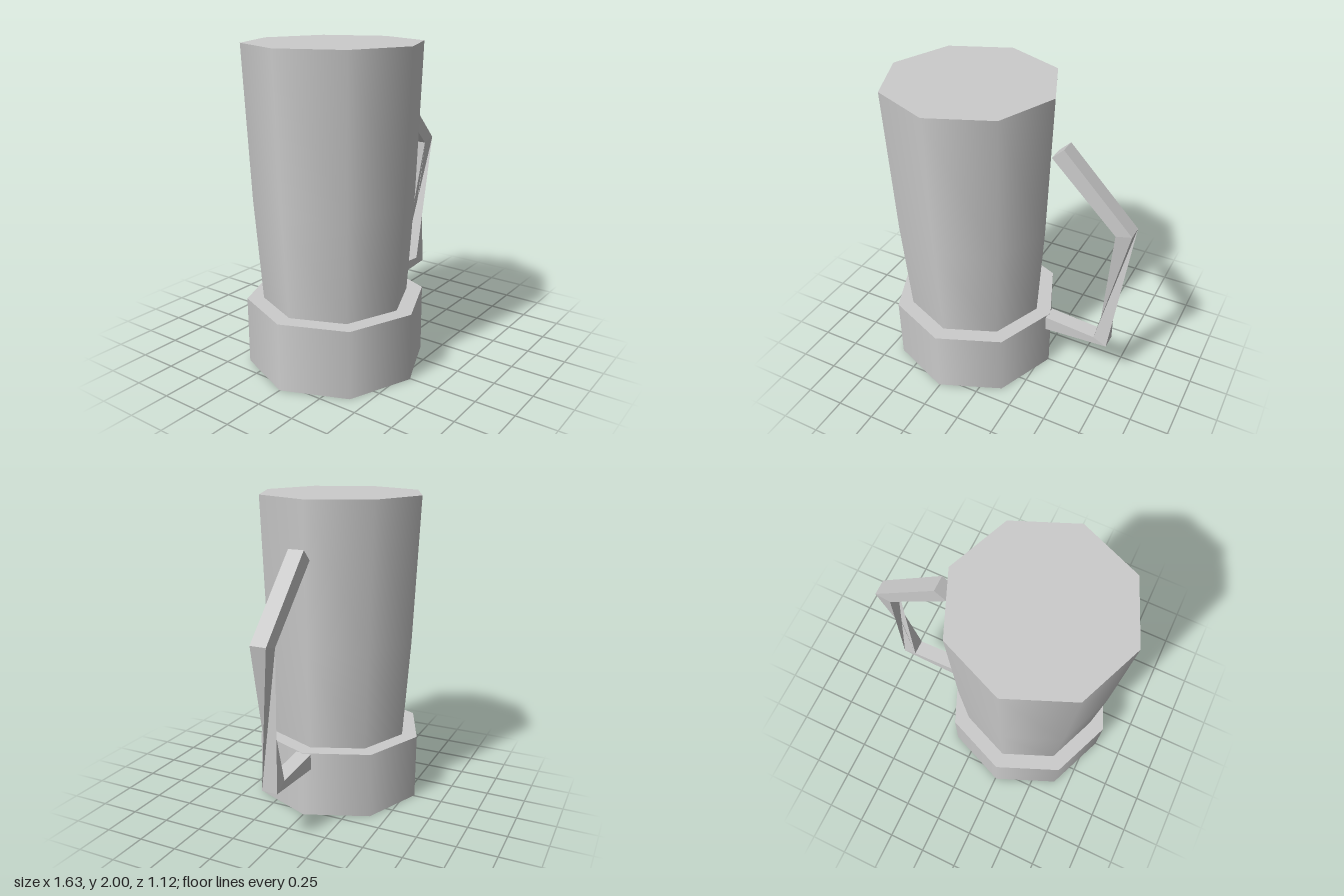
import * as THREE from 'three';

const CX = -0.257; // axis of the mug body

// Square-section bar through four-cornered rings, with flat end caps
function barGeometry(rings) {
  const pos = [];
  const tri = (...corners) => corners.forEach((c) => pos.push(...c));
  for (let s = 0; s < rings.length - 1; s++) {
    const a = rings[s], b = rings[s + 1];
    for (let i = 0; i < 4; i++) {
      const j = (i + 1) % 4;
      tri(a[i], b[i], a[j]);
      tri(a[j], b[i], b[j]);
    }
  }
  const a = rings[0], b = rings[rings.length - 1];
  tri(a[0], a[1], a[2]);
  tri(a[0], a[2], a[3]);
  tri(b[1], b[0], b[3]);
  tri(b[1], b[3], b[2]);
  const g = new THREE.BufferGeometry();
  g.setAttribute('position', new THREE.Float32BufferAttribute(pos, 3));
  g.computeVertexNormals();
  return g;
}

// Ring from an outer and an inner point; turn shifts the corner order
function ring([ox, oy], [ix, iy], turn) {
  const w = 0.051;
  const c = [[ox, oy, w], [ox, oy, -w], [ix, iy, -w], [ix, iy, w]];
  return c.map((_, i) => c[(i + 4 - turn) % 4]);
}

export function createModel() {
  const group = new THREE.Group();
  const grey = new THREE.MeshStandardMaterial({ color: 0xcccccc });
  grey.name = 'plain grey';

  const add = (name, geometry, x = 0, y = 0) => {
    const mesh = new THREE.Mesh(geometry, grey);
    mesh.name = name;
    mesh.position.set(x, y, 0);
    group.add(mesh);
    return mesh;
  };

  // Eight-sided foot
  add('base', new THREE.CylinderGeometry(0.56, 0.56, 0.43, 8), CX, 0.215);

  // Tapered eight-sided body, smooth around its sides
  const profile = [[0.457, 0.43], [0.5, 1.07], [0.537, 2]].map(([r, y]) => new THREE.Vector2(r, y));
  add('body', new THREE.LatheGeometry(profile, 8), CX);
  add('top', new THREE.CircleGeometry(0.537, 8).rotateX(-Math.PI / 2), CX, 2);

  // Angular handle, with a quarter twist in its upright bar
  add('handle', barGeometry([
    ring([0.365, 1.725], [0.292, 1.655], 0),
    ring([0.815, 1.265], [0.715, 1.24], 0),
    ring([0.725, 0.355], [0.635, 0.4], 1),
    ring([0.292, 0.325], [0.292, 0.428], 1),
  ]));

  return group;
}
